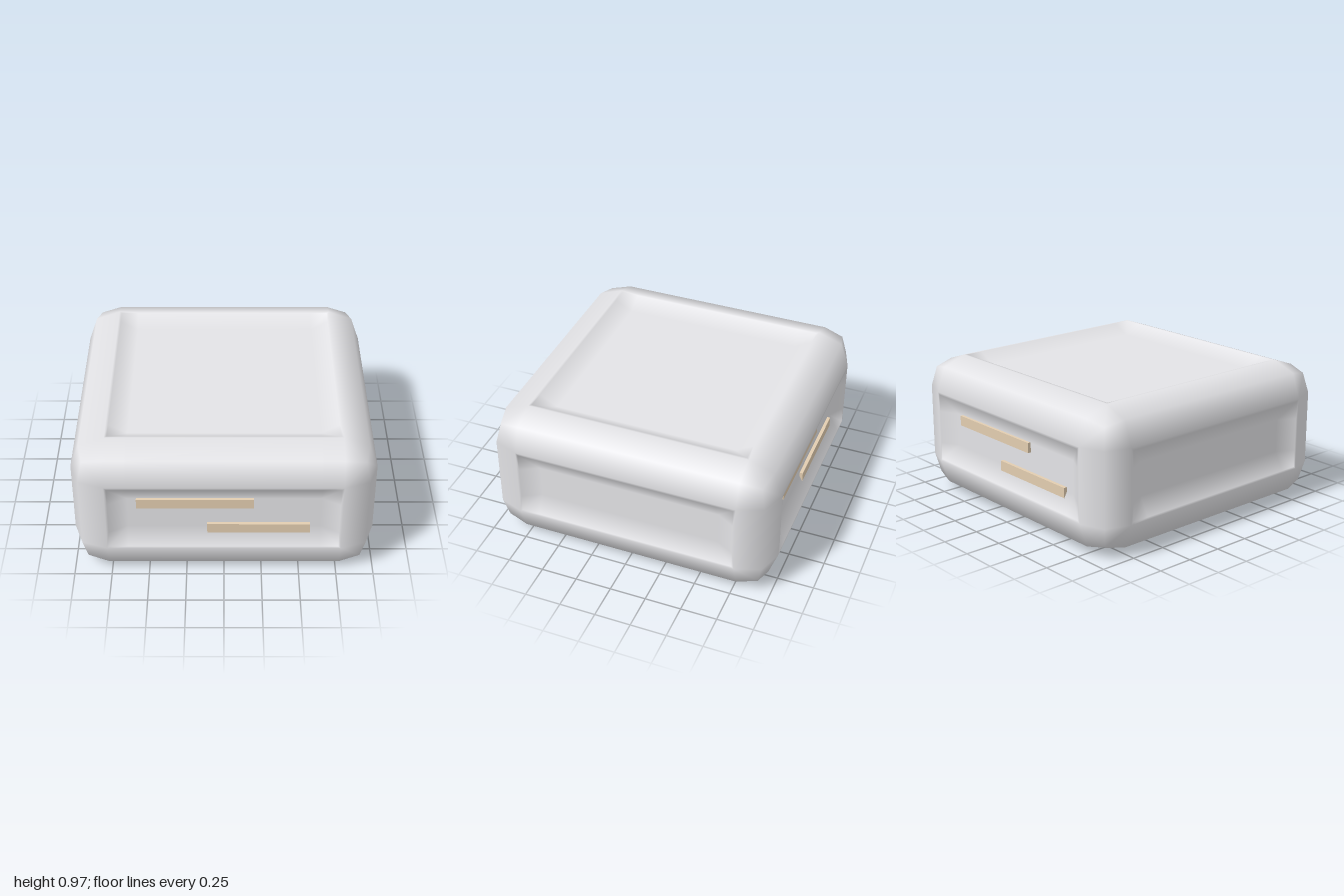
import * as THREE from 'three';

const HALF = [1, 0.485, 1];   // half extents of the block
const BEVEL = 0.06;           // inset of the rounded edge line
const CORNER = 0.09;          // inset of the rounded corner point
const RIM = 0.23;             // start of the flat rim
const LIP = 0.247;            // end of the flat rim
const FLOOR = 0.37;           // edge of the sunken panel
const DEPTH = 0.068;          // depth of the sunken panel

// Rounded block with a sunken panel on all six faces: each face is a grid of inset rings
function blockGeometry() {
  const insets = [BEVEL, RIM, LIP, FLOOR];
  const tilts = [1, 0, -DEPTH / (FLOOR - LIP), 0]; // normals lean out on the bevel, in on the slope
  const n = insets.length * 2;
  const ring = (i) => Math.min(i, n - 1 - i);
  const sign = (i) => (i < n / 2 ? -1 : 1);
  const positions = [];
  const normals = [];
  const index = [];

  for (let axis = 0; axis < 3; axis++) {
    const uAxis = (axis + 1) % 3;
    const vAxis = (axis + 2) % 3;
    for (const side of [1, -1]) {
      const base = positions.length / 3;
      for (let j = 0; j < n; j++) {
        for (let i = 0; i < n; i++) {
          const ri = ring(i), rj = ring(j);
          const corner = ri === 0 && rj === 0;
          const level = Math.min(ri, rj);
          const drop = corner ? CORNER : [BEVEL, 0, 0, DEPTH][level];
          const p = [0, 0, 0];
          p[axis] = side * (HALF[axis] - drop);
          p[uAxis] = sign(i) * (HALF[uAxis] - (corner ? CORNER : insets[ri]));
          p[vAxis] = sign(j) * (HALF[vAxis] - (corner ? CORNER : insets[rj]));
          positions.push(...p);

          const normal = [0, 0, 0];
          normal[axis] = side;
          if (ri === level) normal[uAxis] = sign(i) * tilts[level];
          if (rj === level) normal[vAxis] = sign(j) * tilts[level];
          const length = Math.hypot(...normal);
          normals.push(...normal.map((c) => c / length));
        }
      }
      const tri = (a, b, c) => (side > 0 ? index.push(a, b, c) : index.push(a, c, b));
      for (let j = 0; j < n - 1; j++) {
        for (let i = 0; i < n - 1; i++) {
          const a = base + j * n + i, b = a + 1, d = a + n, c = d + 1;
          // diagonals run outward to the corners
          if ((i < n / 2 - 0.5) === (j < n / 2 - 0.5)) {
            tri(a, b, c); tri(a, c, d);
          } else {
            tri(a, b, d); tri(b, c, d);
          }
        }
      }
    }
  }
  const geometry = new THREE.BufferGeometry();
  geometry.setAttribute('position', new THREE.Float32BufferAttribute(positions, 3));
  geometry.setAttribute('normal', new THREE.Float32BufferAttribute(normals, 3));
  geometry.setIndex(index);
  return geometry;
}

export function createModel() {
  const group = new THREE.Group();
  const bodyMaterial = new THREE.MeshStandardMaterial({ color: 0xe3e3e6 });
  bodyMaterial.name = 'light grey';
  const barMaterial = new THREE.MeshStandardMaterial({ color: 0xe2cdb0 });
  barMaterial.name = 'tan';

  const body = new THREE.Mesh(blockGeometry(), bodyMaterial);
  body.name = 'body';
  body.position.y = HALF[1];
  group.add(body);

  // Two staggered bars, repeated on the front and back panels
  const bars = [
    ['upperBar', -0.57, 0.195, 0.535, 0.605],
    ['lowerBar', -0.11, 0.565, 0.33, 0.40],
  ];
  for (const [sideName, turn] of [['front', 0], ['back', Math.PI]]) {
    const pair = new THREE.Group();
    pair.name = sideName + 'Bars';
    pair.rotation.y = turn;
    for (const [name, x0, x1, y0, y1] of bars) {
      const bar = new THREE.Mesh(new THREE.BoxGeometry(x1 - x0, y1 - y0, 0.05), barMaterial);
      bar.name = name;
      bar.position.set((x0 + x1) / 2, (y0 + y1) / 2, 0.93);
      pair.add(bar);
    }
    group.add(pair);
  }
  return group;
}
